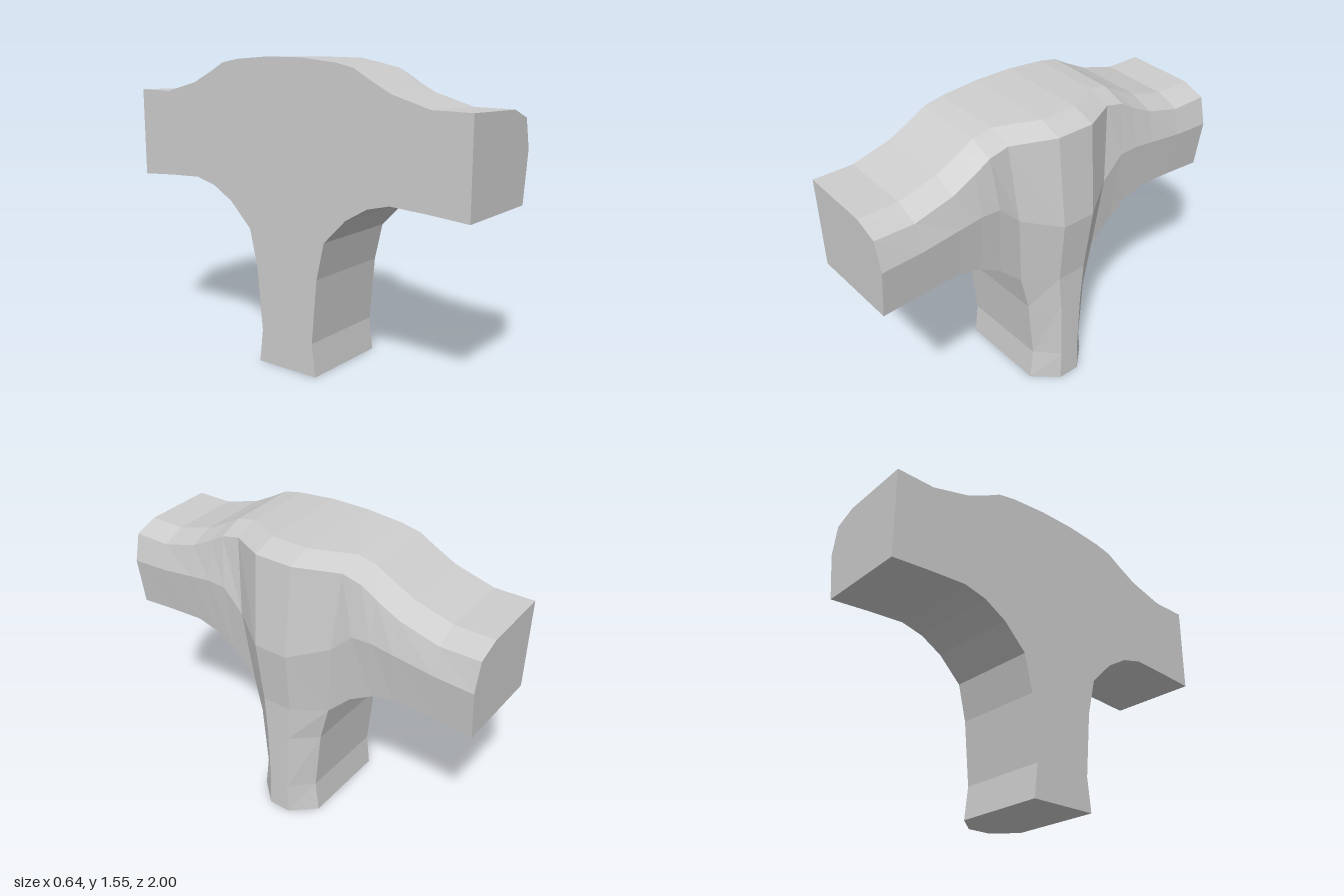
import * as THREE from 'three';

const BACK = -0.32;

// Joins equal-sized rings of [x, y, z] points into a closed, faceted skin.
function loft(name, rings, { capStart = false, capEnd = false, skip = () => false } = {}) {
  const n = rings[0].length;
  const index = [];
  for (let i = 0; i < rings.length - 1; i++) {
    for (let j = 0; j < n; j++) {
      if (skip(i, j)) continue;
      const k = (j + 1) % n;
      const a = i * n + j, b = i * n + k, c = (i + 1) * n + k, d = (i + 1) * n + j;
      index.push(a, b, c, a, c, d);
    }
  }
  const last = (rings.length - 1) * n;
  for (let j = 1; j < n - 1; j++) {
    if (capStart) index.push(0, j + 1, j);
    if (capEnd) index.push(last, last + j, last + j + 1);
  }
  const indexed = new THREE.BufferGeometry();
  indexed.setAttribute('position', new THREE.Float32BufferAttribute(rings.flat(2), 3));
  indexed.setIndex(index);
  const geometry = indexed.toNonIndexed();
  geometry.computeVertexNormals();
  const mesh = new THREE.Mesh(geometry, new THREE.MeshStandardMaterial({ color: 0xcccccc, flatShading: true }));
  mesh.name = name;
  return mesh;
}

// Crossbar sections from the arm end to the middle:
// bottom [z, y, x], ridge [z, y, x], top [z, shoulderY, shoulderX, crownY, crownX, backY]
const sections = [
  [[1.0, 0.89, 0.17], [1.0, 1.145, 0.205], [1.0, 1.29, 0.17, 1.335, 0.05, 1.35]],
  [[0.8, 0.905, 0.17], [0.8, 1.155, 0.205], [0.8, 1.287, 0.17, 1.335, 0.05, 1.35]],
  [[0.6, 0.915, 0.17], [0.6, 1.18, 0.205], [0.6, 1.34, 0.17, 1.39, 0.05, 1.405]],
  [[0.48, 0.885, 0.17], [0.48, 1.195, 0.205], [0.48, 1.4, 0.17, 1.45, 0.05, 1.465]],
  [[0.36, 0.815, 0.17], [0.38, 1.19, 0.205], [0.4, 1.447, 0.17, 1.495, 0.05, 1.51]],
  [[0.235, 0.69, 0.17], [0.27, 1.08, 0.205], [0.3, 1.47, 0.17, 1.515, 0.05, 1.53]],
  [[0.08, 0.69, 0.28], [0.09, 1.025, 0.32], [0.1, 1.487, 0.28, 1.53, 0.16, 1.547]],
];

function crossbarRing([bottom, ridge, top], side) {
  const [bz, by, bx] = bottom, [rz, ry, rx] = ridge, [tz, sy, sx, cy, cx, ty] = top;
  return [
    [BACK, by, side * bz], [bx, by, side * bz], [rx, ry, side * rz],
    [sx, sy, side * tz], [cx, cy, side * tz], [BACK, ty, side * tz],
  ];
}

// Leg levels: y, half width, half width of the front facet
const levels = [
  [0, 0.18, 0.06],
  [0.17, 0.16, 0.055],
  [0.5, 0.19, 0.065],
  [0.69, 0.235, 0.08],
];

const legRing = ([y, w, n]) => [
  [BACK, y, w], [0.17, y, w], [0.28, y, n],
  [0.28, y, -n], [0.17, y, -w], [BACK, y, -w],
];

export function createModel() {
  const group = new THREE.Group();
  group.name = 'teeBracket';

  // Two mirrored arms, left open underneath where the leg joins
  const rings = [
    ...sections.map((s) => crossbarRing(s, -1)),
    ...[...sections].reverse().map((s) => crossbarRing(s, 1)),
  ];
  group.add(loft('crossbar', rings, {
    capStart: true,
    capEnd: true,
    skip: (i, j) => j === 0 && i >= 5 && i <= 7,
  }));

  // Flared leg, open at the top
  group.add(loft('leg', levels.map(legRing), { capStart: true }));
  return group;
}
